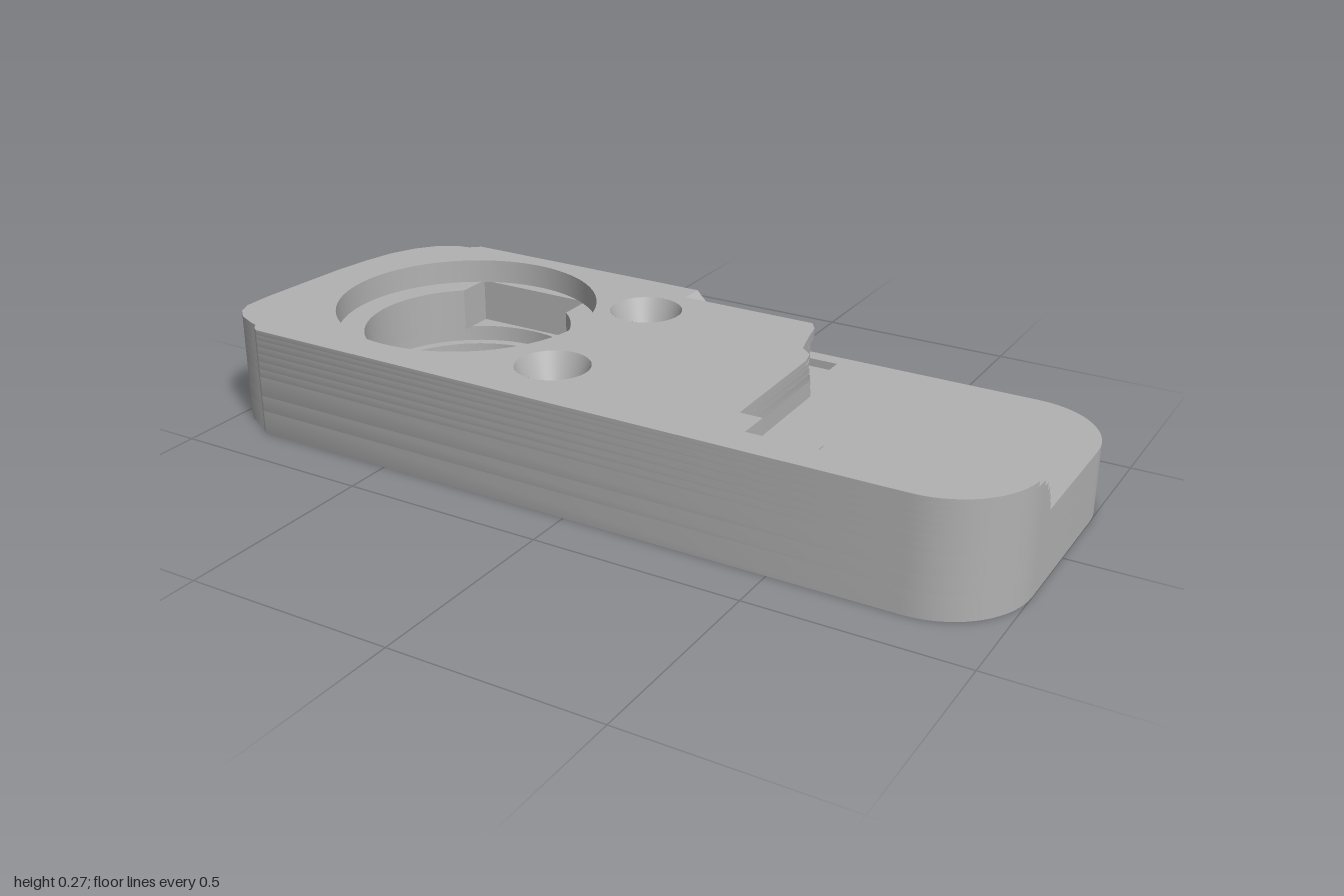
import * as THREE from 'three';
import { toCreasedNormals } from 'three/addons/utils/BufferGeometryUtils.js';

const HOLE = { x: -0.545, z: -0.02 };
const SCREWS = [[-0.14, -0.205], [-0.14, 0.205]];

// Left end, from the back edge round to the front edge, as x, z pairs
const LEFT_END = [[-0.77, -0.39], [-0.795, -0.368], [-0.83, -0.362], [-0.875, -0.335], [-0.915, -0.285],
  [-0.945, -0.22], [-0.965, -0.14], [-0.98, -0.04], [-0.992, 0.1], [-1, 0.2], [-1, 0.27], [-0.985, 0.305],
  [-0.955, 0.333], [-0.91, 0.353], [-0.89, 0.36], [-0.88, 0.375], [-0.865, 0.385]];

// Points of a rounded corner
function corner(cx, cz, r, a0, a1, n = 14) {
  return Array.from({ length: n + 1 }, (_, i) => {
    const a = a0 + (a1 - a0) * i / n;
    return [cx + r * Math.cos(a), cz + r * Math.sin(a)];
  });
}

const toPoints = (list) => list.map(([x, z]) => new THREE.Vector2(x, z));

function circle(x, z, r) {
  return new THREE.Path().absarc(x, z, r, 0, Math.PI * 2, false);
}

// Round opening with a square notch at the back and at the front
function notchedHole() {
  const r = 0.255, back = 0.16, front = 0.12;
  const aF = Math.acos(front / r), aB = Math.acos(back / r);
  const pts = [
    ...corner(0, 0, r, -aB, aF, 24), [front, 0.28], [-front, 0.28],
    ...corner(0, 0, r, Math.PI - aF, Math.PI + aB, 24), [-back, -0.29], [back, -0.29],
  ];
  return new THREE.Path(toPoints(pts.map(([x, z]) => [x + HOLE.x, z + HOLE.z])));
}

// Full footprint of the plate
function baseOutline() {
  return new THREE.Shape(toPoints([
    ...LEFT_END,
    ...corner(0.8, 0.185, 0.2, Math.PI / 2, 0),
    ...corner(0.8, -0.19, 0.2, 0, -Math.PI / 2),
  ]));
}

// Raised part: t runs from 0 at the recess floor to 1 at the top
function upperOutline(t, undercut) {
  const e = 0.125 + 0.085 * t;
  const stop = Math.asin(Math.max(0, e - 0.185) / 0.2);
  const end = e < 0.185 ? [[1, e]] : [];
  const rim = new THREE.CatmullRomCurve3([
    [0.985, e + 0.012], [0.95, 0.165 + 0.06 * t], [0.85, 0.22 + 0.03 * t], [0.7, 0.247 + 0.005 * t], [0.57, 0.24],
  ].map(([x, z]) => new THREE.Vector3(x, 0, z))).getPoints(20).map((p) => [p.x, p.z]);
  const slot = undercut
    ? [[0.275, -0.27], [0, -0.27], [0, -0.33]]
    : [[0.28, -0.25], [0.27, -0.3], [0.25, -0.33]];
  return new THREE.Shape(toPoints([
    ...LEFT_END,
    ...corner(0.8, 0.185, 0.2, Math.PI / 2, stop), ...end, ...rim,
    [0.57, 0.3], [0.4, 0.3], [0.4, 0.22], [0.345, 0.22],
    [0.34, -0.14 + 0.03 * t], [0.33, -0.15], [0.3, -0.175], ...slot,
    [-0.1, -0.33], [-0.1, -0.39],
  ]));
}

// Extrude a footprint between two heights
function slab(shape, holes, y0, y1) {
  shape.holes.push(...holes);
  const g = new THREE.ExtrudeGeometry(shape, { depth: y1 - y0, bevelEnabled: false, curveSegments: 48 });
  g.rotateX(Math.PI / 2);
  g.translate(0, y1, 0);
  return toCreasedNormals(g, 0.6);
}

export function createModel() {
  const group = new THREE.Group();
  const grey = new THREE.MeshStandardMaterial({ color: 0xb2b2b2 });
  grey.name = 'grey';
  const cutGrey = new THREE.MeshStandardMaterial({ color: 0xb2b2b2, side: THREE.DoubleSide });
  cutGrey.name = 'grey inner surface';
  const add = (name, geometry, material = grey) => {
    const mesh = new THREE.Mesh(geometry, material);
    mesh.name = name;
    group.add(mesh);
  };
  const screwHoles = (r) => SCREWS.map(([x, z]) => circle(x, z, r));
  const bigHole = (r) => circle(HOLE.x, HOLE.z, r);
  const pinHole = () => circle(0.515, 0.095, 0.036);

  // Lower plate, with a groove inside the large opening
  const lower = [[0, 0.06, () => bigHole(0.255)], [0.06, 0.1, () => bigHole(0.28)], [0.1, 0.15, notchedHole]];
  lower.forEach(([y0, y1, hole]) =>
    add('lowerPlate', slab(baseOutline(), [hole(), pinHole(), ...screwHoles(0.05)], y0, y1)));

  // Recess floor with two shallow pockets
  const pockets = [
    [[0.4, 0.18], [0.57, 0.18], [0.57, 0.3], [0.4, 0.3]],
    [[0, -0.35], [0.31, -0.35], [0.31, -0.27], [0, -0.27]],
  ].map((p) => new THREE.Path(toPoints(p)));
  add('recessFloor', slab(baseOutline(), [notchedHole(), pinHole(), ...screwHoles(0.05), ...pockets], 0.15, 0.17));

  // Raised part in thin steps, so the rim rounds off at its end
  const steps = [0.17, 0.19, 0.21, 0.228, 0.245, 0.258, 0.27];
  for (let i = 0; i < steps.length - 1; i++) {
    const hole = steps[i] < 0.205 ? notchedHole() : bigHole(0.32);
    const t = [0, 0.08, 0.18, 0.35, 0.6, 1][i];
    add('upperPlate', slab(upperOutline(t, steps[i] < 0.24), [hole, ...screwHoles(0.088)], steps[i], steps[i + 1]));
  }

  // Conical seats for the screws
  for (const [x, z] of SCREWS) {
    const cone = new THREE.CylinderGeometry(0.088, 0.05, 0.1, 48, 1, true);
    cone.translate(x, 0.22, z);
    add('screwSeat', cone, cutGrey);
  }

  // Ramp at the back edge
  const wedge = new THREE.ExtrudeGeometry(
    new THREE.Shape(toPoints([[-0.1, 0.17], [0, 0.17], [-0.1, 0.27]])), { depth: 0.06, bevelEnabled: false });
  wedge.translate(0, 0, -0.39);
  add('backRamp', wedge);

  return group;
}
